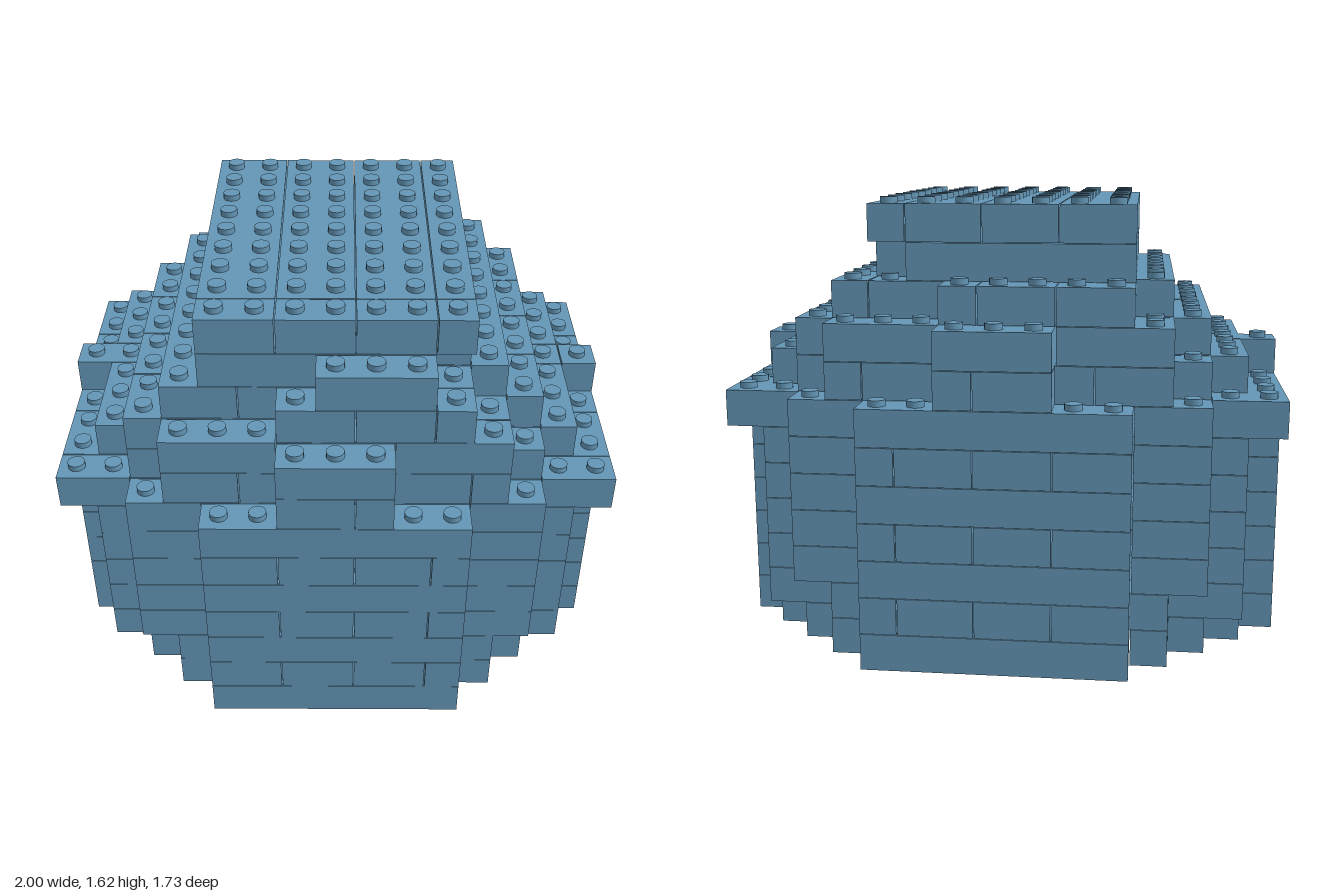
import * as THREE from 'three';

const P = 2 / 15;      // stud pitch and brick height
const GAP = 0.004;     // seam between neighbouring bricks
const NX = 15, NZ = 13;

// Each layer: rows from back to front as [first column, end column]
const mirror = (half) => [...half, ...half.slice(0, 6).reverse()];
const core = Array(4).fill([0, 15]);
const wall = mirror([[4, 11], [2, 13], [1, 14], [1, 14], [0, 15], [0, 15], [0, 15]]);
const none = [0, 0];
const fill = (n, a, b) => Array(n).fill([a, b]);
const LAYERS = [
  mirror([[4, 11], [3, 12], [2, 13], [1, 14], ...core.slice(1)]),
  mirror([[4, 11], [3, 12], [1, 14], [1, 14], ...core.slice(1)]),
  wall, wall, wall, wall,
  mirror([[4, 11], [2, 13], [0, 15], ...core]),
  mirror([[6, 9], [3, 12], [2, 13], [1, 14], [1, 14], [1, 14], [0, 15]]),
  [[6, 9], [3, 12], [3, 13], ...fill(7, 2, 13), [2, 12], [3, 12], [6, 9]],
  [none, [4, 9], [4, 12], ...fill(7, 3, 12), [3, 11], [6, 11], none],
  [none, none, [4, 10], ...fill(7, 4, 11), [4, 10], [7, 10], none],
  [none, none, ...fill(9, 4, 11), none, none],
];

const filled = (layer, x, z) => {
  const row = LAYERS[layer] && LAYERS[layer][z];
  return !!row && x >= row[0] && x < row[1];
};

// Split a layer into bricks up to 8 x 2 studs, turned on alternate layers
function layBricks(layer) {
  const used = new Set(), bricks = [];
  const alongZ = layer % 2 === 1;
  const free = (u, v) => {
    const [x, z] = alongZ ? [v, u] : [u, v];
    return filled(layer, x, z) && !used.has(x * 100 + z);
  };
  const nu = alongZ ? NZ : NX, nv = alongZ ? NX : NZ;
  for (let v = 0; v < nv; v++) {
    for (let u = 0; u < nu; u++) {
      if (!free(u, v)) continue;
      let len = 1;
      while (len < 8 && free(u + len, v)) len++;
      let wide = 2;
      for (let k = 0; k < len; k++) if (!free(u + k, v + 1)) wide = 1;
      for (let a = 0; a < len; a++) {
        for (let b = 0; b < wide; b++) {
          used.add(alongZ ? (v + b) * 100 + u + a : (u + a) * 100 + v + b);
        }
      }
      bricks.push(alongZ ? [v, u, wide, len] : [u, v, len, wide]);
    }
  }
  return bricks;
}

export function createModel() {
  const group = new THREE.Group();
  const blue = new THREE.MeshStandardMaterial({ color: 0x6496b6 });
  blue.name = 'steel blue';
  const studGeo = new THREE.CylinderGeometry(0.031, 0.031, 0.022, 16);

  LAYERS.forEach((rows, layer) => {
    const course = new THREE.Group();
    course.name = `brickLayer${layer + 1}`;
    group.add(course);

    // Bricks
    for (const [x, z, w, d] of layBricks(layer)) {
      const brick = new THREE.Mesh(new THREE.BoxGeometry(w * P - GAP, P - 0.002, d * P - GAP), blue);
      brick.name = 'brick';
      brick.position.set((x + w / 2 - NX / 2) * P, (layer + 0.5) * P, (z + d / 2 - NZ / 2) * P);
      course.add(brick);
    }

    // Studs wherever nothing sits on top
    for (let z = 0; z < NZ; z++) {
      for (let x = 0; x < NX; x++) {
        if (!filled(layer, x, z) || filled(layer + 1, x, z)) continue;
        const stud = new THREE.Mesh(studGeo, blue);
        stud.name = 'stud';
        stud.position.set((x + 0.5 - NX / 2) * P, (layer + 1) * P + 0.01, (z + 0.5 - NZ / 2) * P);
        course.add(stud);
      }
    }
  });
  return group;
}
